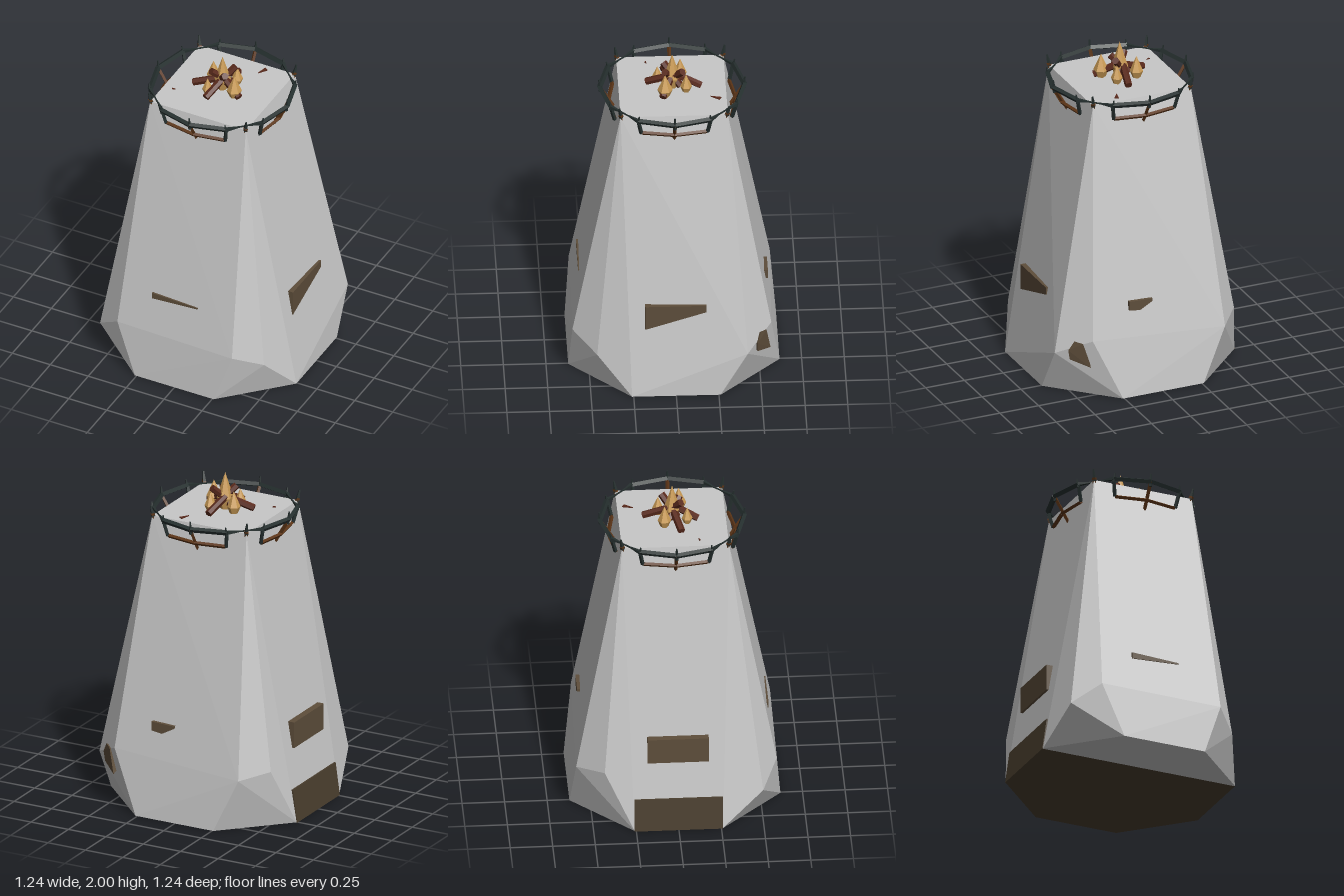
import * as THREE from 'three';
import { ConvexGeometry } from 'three/addons/geometries/ConvexGeometry.js';

const mat = (name, color) => {
  const m = new THREE.MeshStandardMaterial({ color, flatShading: true });
  m.name = name;
  return m;
};
const V = (p) => new THREE.Vector3(...p);

export function createModel() {
  const stone = mat('pale stone', 0xc8c8c8);
  const brick = mat('brown stone', 0x5e4e3b);
  const earth = mat('dark earth', 0x4a3e2e);
  const iron = mat('dark iron', 0x26302f);
  const rust = mat('rusty wood', 0x5c3517);
  const ember = mat('red wood', 0x5a2a1c);
  const flame = mat('amber flame', 0xcb9c56);

  const model = new THREE.Group();
  model.name = 'beaconTower';
  const add = (parent, name, geometry, material) => {
    const mesh = new THREE.Mesh(geometry, material);
    mesh.name = name;
    parent.add(mesh);
    return mesh;
  };
  const hull = (name, points, material) =>
    add(model, name, new ConvexGeometry(points.map(V)), material);
  // straight bar between two points, optionally tapered
  const bar = (parent, name, a, b, r, material, sides = 4, rEnd = r) => {
    const from = V(a), to = V(b), dir = to.clone().sub(from);
    const mesh = add(parent, name, new THREE.CylinderGeometry(rEnd, r, dir.length(), sides), material);
    mesh.position.copy(from).add(to).multiplyScalar(0.5);
    mesh.quaternion.setFromUnitVectors(new THREE.Vector3(0, 1, 0), dir.normalize());
    return mesh;
  };

  // Tower: octagonal foot, uneven shoulders, square top
  const top = 1.775, foot = 0.002;
  const body = [
    [0.37, 0.32, 0.6], [0.51, 0.23, 0.46],
    [-0.39, 0.33, 0.59], [-0.55, 0.21, 0.5],
    [-0.41, 0.33, -0.59], [-0.54, 0.36, -0.43],
    [0.43, 0.38, -0.565], [0.61, 0.28, -0.42],
  ];
  for (const sx of [-1, 1]) for (const sz of [-1, 1]) {
    body.push([sx * 0.315, top, sz * 0.315], [sx * 0.26, foot, sz * 0.62], [sx * 0.62, foot, sz * 0.26]);
  }
  hull('towerBody', body, stone);

  // Earth under the foot
  const soil = new THREE.Shape([
    [0.62, 0.26], [0.62, -0.26], [0.26, -0.62], [-0.26, -0.62], [-0.62, -0.26], [-0.62, 0.26],
  ].map(([x, z]) => new THREE.Vector2(x, z)));
  add(model, 'footUnderside', new THREE.ShapeGeometry(soil), earth).rotation.x = Math.PI / 2;

  // Protruding bricks: outline (u, y) on a face, set at a distance out from the axis
  const brickOn = (name, turn, out, outline) => {
    const pts = [];
    for (const [u, y] of outline) pts.push([u, y, out], [u, y, out - 0.08]);
    hull(name, pts, brick).rotation.y = turn;
  };
  brickOn('frontBrick', 0, 0.556, [[-0.18, 0.585], [-0.18, 0.547], [0.12, 0.565], [0.12, 0.573]]);
  brickOn('leftBrick', Math.PI / 2, 0.557, [[-0.18, 0.59], [-0.18, 0.43], [0.18, 0.545], [0.18, 0.59]]);
  brickOn('rightBrick', -Math.PI / 2, 0.56, [[-0.18, 0.59], [-0.18, 0.43], [0.18, 0.43], [0.18, 0.59]]);
  brickOn('backBrick', Math.PI, 0.555, [[-0.19, 0.585], [-0.19, 0.53], [-0.12, 0.52], [-0.04, 0.565], [-0.04, 0.58]]);
  hull('cornerBrick', [
    [0.52, 0.37, -0.5], [0.48, 0.36, -0.535], [0.44, 0.21, -0.56],
    [0.54, 0.25, -0.48], [0.55, 0.31, -0.48], [0.4, 0.3, -0.4],
  ], brick);
  hull('footPanel', [-0.26, 0.26].flatMap((z) => [
    [-0.624, 0, z], [-0.596, 0.2, z], [-0.57, 0.2, z], [-0.6, 0, z],
  ]), earth);

  // Railing: one quarter, repeated on four sides
  const R = 0.425, H = 1.78;
  const ring = (deg, y, r = R) => {
    const a = THREE.MathUtils.degToRad(deg);
    return [r * Math.sin(a), y, r * Math.cos(a)];
  };
  for (let i = 0; i < 4; i++) {
    const side = new THREE.Group();
    side.name = 'railingSide';
    side.rotation.y = i * Math.PI / 2;
    model.add(side);
    for (const s of [-1, 1]) {
      bar(side, 'topRail', ring(0, H), ring(s * 30, H), 0.016, iron);
      bar(side, 'topRail', ring(s * 30, H), ring(s * 41, H, 0.408), 0.014, iron, 4, 0.005);
      bar(side, 'lowerRail', [0, 1.68, 0.375], [s * 0.19, 1.68, 0.342], 0.012, rust);
      bar(side, 'railStrut', [s * 0.195, 1.68, 0.345], ring(s * 30, H), 0.012, iron);
      bar(side, 'railSpike', ring(s * 30, 1.76), ring(s * 29, 1.815, 0.43), 0.01, iron, 4, 0.004);
    }
    bar(side, 'cornerRail', ring(40, H, 0.41), ring(50, H, 0.41), 0.005, iron);
    bar(side, 'centreStrut', [0, 1.63, 0.335], [0, H, 0.425], 0.011, rust);
    bar(side, 'centreSpike', [0, 1.75, 0.42], [0, 1.83, 0.428], 0.011, iron, 4, 0.005);
    bar(side, 'cornerPost', [0.3, 1.74, 0.3], [0.315, 1.79, 0.315], 0.014, rust);
    bar(side, 'cornerSpike', [0.31, 1.77, 0.31], [0.322, 1.84, 0.322], 0.015, iron, 4, 0.005);
  }

  // Bonfire: leaning logs
  const fire = new THREE.Group();
  fire.name = 'bonfire';
  model.add(fire);
  const logs = [
    [[0.02, 1.79, -0.17], [-0.02, 1.87, 0.02]],
    [[-0.17, 1.79, 0.045], [0, 1.85, 0]],
    [[-0.035, 1.79, 0.15], [0.02, 1.87, -0.02]],
    [[0.14, 1.79, 0.06], [0, 1.86, 0]],
    [[-0.03, 1.8, 0.03], [0.055, 1.91, -0.06]],
    [[0.04, 1.8, -0.05], [-0.05, 1.91, 0.05]],
    [[-0.05, 1.8, -0.02], [0.04, 1.9, 0.045]],
  ];
  for (const [a, b] of logs) bar(fire, 'log', a, b, 0.022, ember, 6);

  // Flames: pointed spindles [x, z, radius, tip height]
  for (const [x, z, r, tip] of [
    [0, 0, 0.05, 2.0], [0.1, 0.045, 0.045, 1.92], [-0.085, -0.05, 0.04, 1.91],
    [0.055, -0.08, 0.035, 1.89], [-0.055, 0.085, 0.032, 1.88],
  ]) {
    const base = 1.775, h = tip - base;
    const profile = [[0.6 * r, 0], [r, h * 0.3], [0, h]].map(([a, b]) => new THREE.Vector2(a, b));
    add(fire, 'flame', new THREE.LatheGeometry(profile, 6), flame).position.set(x, base, z);
  }

  // Splinters lying on the roof
  const splinter = (pts) => hull('splinter', pts.flatMap(([x, z]) => [[x, top - 0.01, z], [x, top + 0.006, z]]), ember);
  splinter([[0.135, -0.285], [0.157, -0.272], [0.12, -0.22]]);
  splinter([[-0.26, 0.143], [-0.238, 0.14], [-0.252, 0.152]]);

  return model;
}
